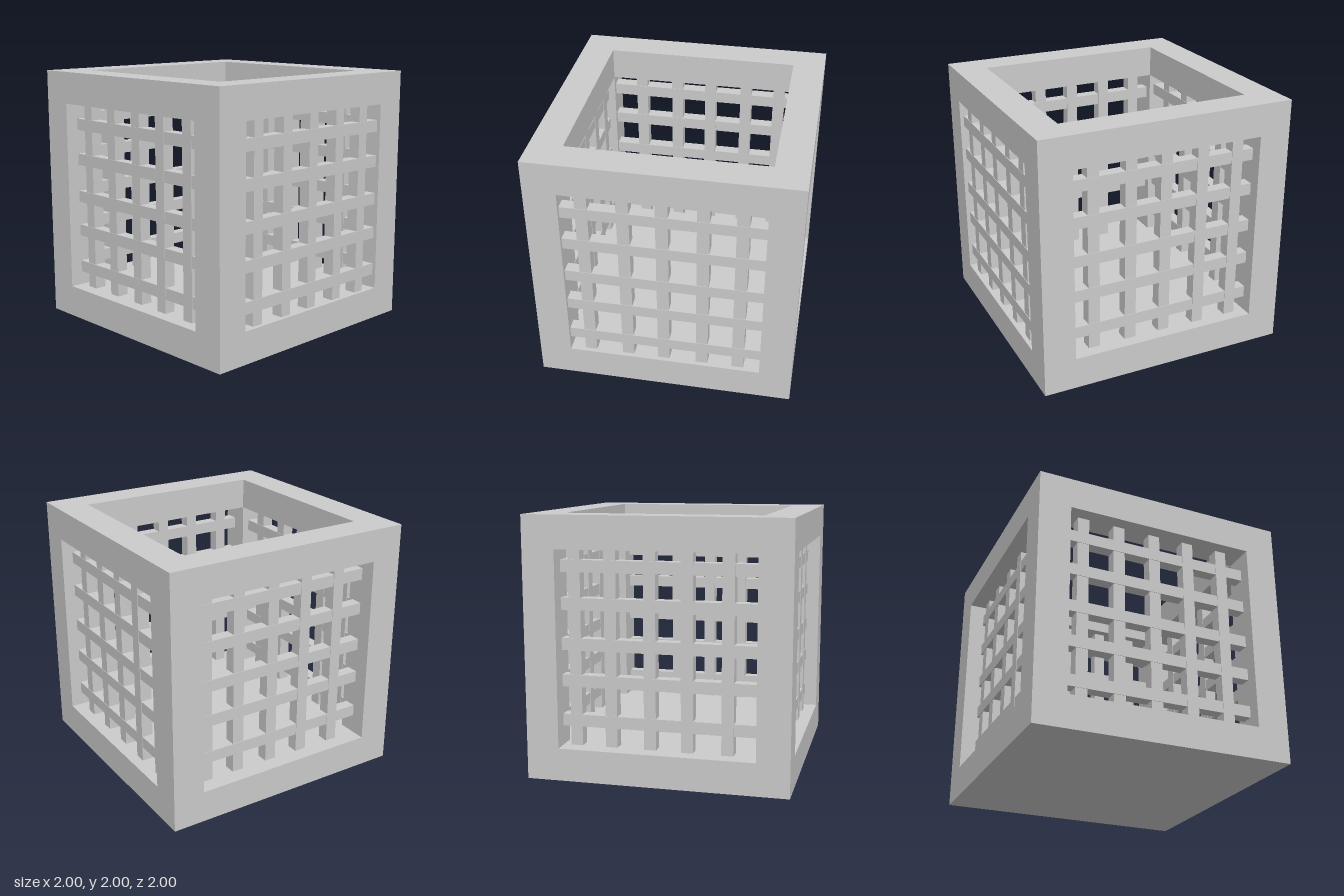
import * as THREE from 'three';

const material = new THREE.MeshStandardMaterial({ color: 0xcccccc, flatShading: true });
const BAR = 0.092, WALL = 0.25, INNER = 0.75;

function addBox(parent, name, w, h, d, x, y, z) {
  const mesh = new THREE.Mesh(new THREE.BoxGeometry(w, h, d), material);
  mesh.name = name;
  mesh.position.set(x, y, z);
  parent.add(mesh);
}

// Lattice facing +z in its own frame; outer is the distance to its outer face.
// The last `proud` uprights pass just in front of the rails, the others just behind.
function lattice({ name, turn, outer, uprights, rails, proud }) {
  const group = new THREE.Group();
  group.name = name;
  const mid = outer - BAR / 2;
  for (const y of rails) addBox(group, 'rail', 2 * INNER, BAR, BAR, 0, y, mid);
  const sorted = [...uprights].sort((a, b) => a - b);
  sorted.forEach((x, i) => {
    const step = i >= sorted.length - proud ? 0.004 : -0.004;
    addBox(group, 'upright', BAR, 2 * INNER, BAR, x, 1, mid + step);
  });
  group.rotation.y = turn;
  return group;
}

export function createModel() {
  const model = new THREE.Group();
  model.name = 'latticeBox';

  // Solid base and corner posts
  addBox(model, 'base', 2, WALL, 2, 0, WALL / 2, 0);
  for (const x of [-1, 1]) for (const z of [-1, 1]) {
    addBox(model, 'cornerPost', WALL, 1.5, WALL, x * 0.875, 1, z * 0.875);
  }

  // Open top rim
  const square = (s, Type) => new Type([[-s, -s], [s, -s], [s, s], [-s, s]].map(p => new THREE.Vector2(...p)));
  const outline = square(1, THREE.Shape);
  outline.holes.push(square(INNER, THREE.Path));
  const rim = new THREE.Mesh(
    new THREE.ExtrudeGeometry(outline, { depth: WALL, bevelEnabled: false }).rotateX(-Math.PI / 2), material);
  rim.name = 'topRim';
  rim.position.y = 2 - WALL;
  model.add(rim);

  // Lattice panels, slightly uneven in spacing and depth
  const rails = [0.405, 0.71, 0.99, 1.295, 1.578];
  const acrossX = [-0.608, -0.316, -0.02, 0.266, 0.563];
  const rightZ = [0.59, 0.288, 0.005, -0.295, -0.577];
  const leftZ = [0.52, 0.215, -0.07, -0.37, -0.645];
  model.add(
    lattice({ name: 'frontLattice', turn: 0, outer: 0.9, uprights: acrossX, rails, proud: 2 }),
    lattice({ name: 'backLattice', turn: Math.PI, outer: 0.91, uprights: acrossX.map(x => 0.005 - x),
      rails: rails.map(y => y + 0.006), proud: 2 }),
    lattice({ name: 'leftLattice', turn: Math.PI / 2, outer: 0.97, uprights: rightZ.map(z => -z), rails, proud: 0 }),
    lattice({ name: 'rightLattice', turn: -Math.PI / 2, outer: 0.88, uprights: leftZ,
      rails: rails.map(y => y + 0.04), proud: 2 }),
  );
  return model;
}
